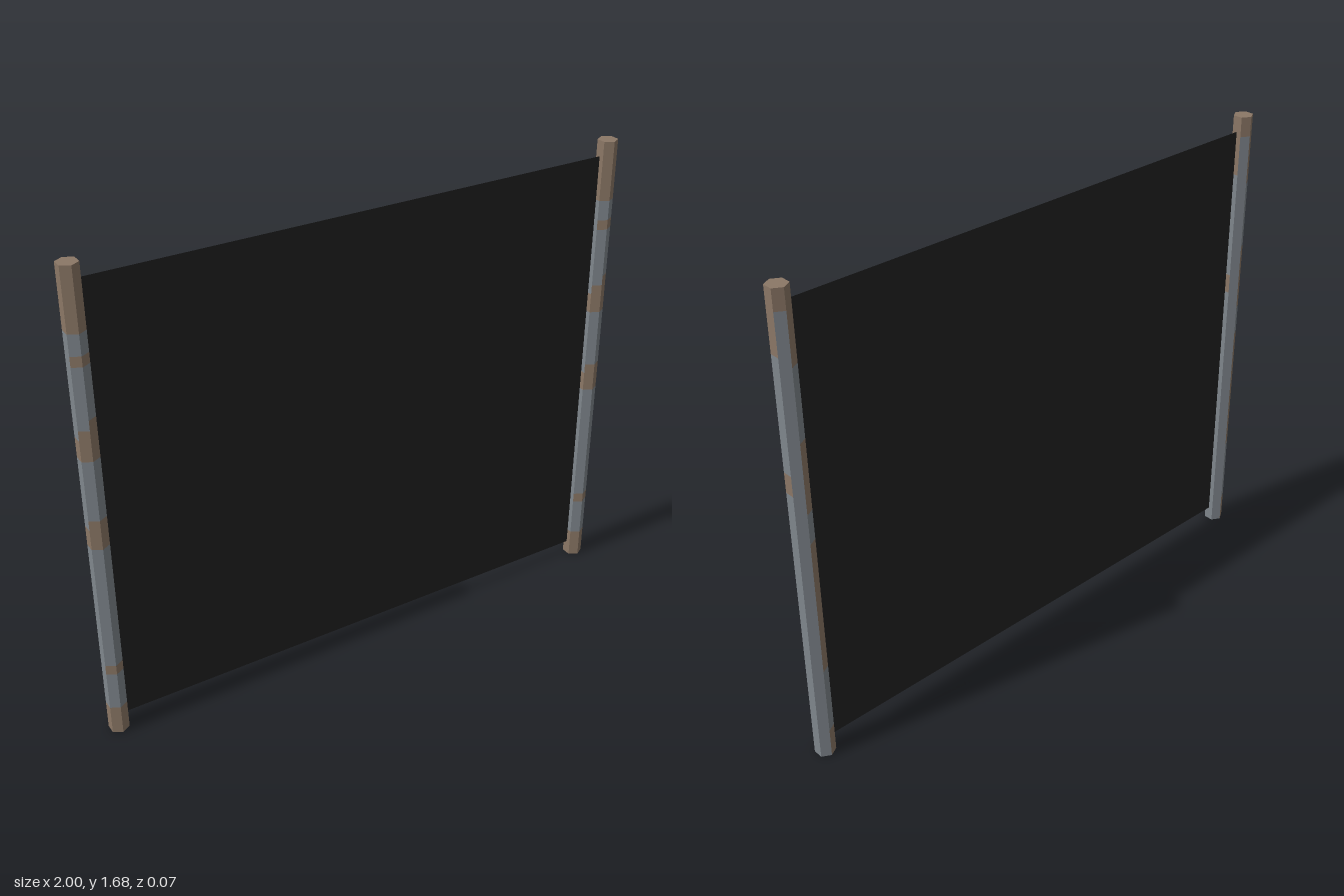
import * as THREE from 'three';

const HEIGHT = 1.685, RADIUS = 0.035, ROWS = 48;

// Rust patches [bottom, top] on each of the six post faces, counted from the front towards +x
const TOP = [1.48, HEIGHT], FOOT = [0, 0.11];
const RUST = [
  [TOP, [1.36, 1.4], [1.04, 1.18], [0.74, 0.84], [0.25, 0.28], FOOT],
  [TOP, [1.02, 1.1]],
  [[1.6, HEIGHT]],
  [[1.43, HEIGHT], [0.95, 1.2], [0.35, 0.85], FOOT],
  [TOP, [1.04, 1.14], [0.74, 0.82], FOOT],
  [TOP, [1.38, 1.42], [1.04, 1.17], [0.73, 0.84], [0.25, 0.28], FOOT],
];

// Hexagonal post, flat faces split into rows of steel (0) or rust (1)
function postGeometry() {
  const geo = new THREE.CylinderGeometry(RADIUS, RADIUS, HEIGHT, 6, ROWS).toNonIndexed();
  geo.computeVertexNormals();
  geo.translate(0, HEIGHT / 2, 0);
  geo.clearGroups();
  RUST.forEach((patches, face) => {
    for (let row = 0; row < ROWS; row++) {
      const y = HEIGHT * (1 - (row + 0.5) / ROWS);
      const rusty = patches.some(([low, high]) => y > low && y < high);
      geo.addGroup((face * ROWS + row) * 6, 6, rusty ? 1 : 0);
    }
  });
  geo.addGroup(6 * ROWS * 6, 36, 1); // both end caps
  return geo;
}

export function createModel() {
  const steel = new THREE.MeshStandardMaterial({ color: 0x7f868c });
  steel.name = 'weathered steel';
  const rust = new THREE.MeshStandardMaterial({ color: 0x8b7766 });
  rust.name = 'dull rust';
  const dark = new THREE.MeshStandardMaterial({ color: 0x222222, side: THREE.DoubleSide });
  dark.name = 'dark mesh';

  const model = new THREE.Group();
  model.name = 'fencePanel';

  // Two end posts
  const geo = postGeometry();
  for (const side of [-1, 1]) {
    const post = new THREE.Mesh(geo, [steel, rust]);
    post.name = side > 0 ? 'leftPost' : 'rightPost';
    post.position.x = side * 0.97;
    model.add(post);
  }

  // Flat sheet stretched between the posts
  const sheet = new THREE.Mesh(new THREE.PlaneGeometry(1.94, 1.58), dark);
  sheet.name = 'sheet';
  sheet.position.y = 0.84;
  model.add(sheet);

  return model;
}
